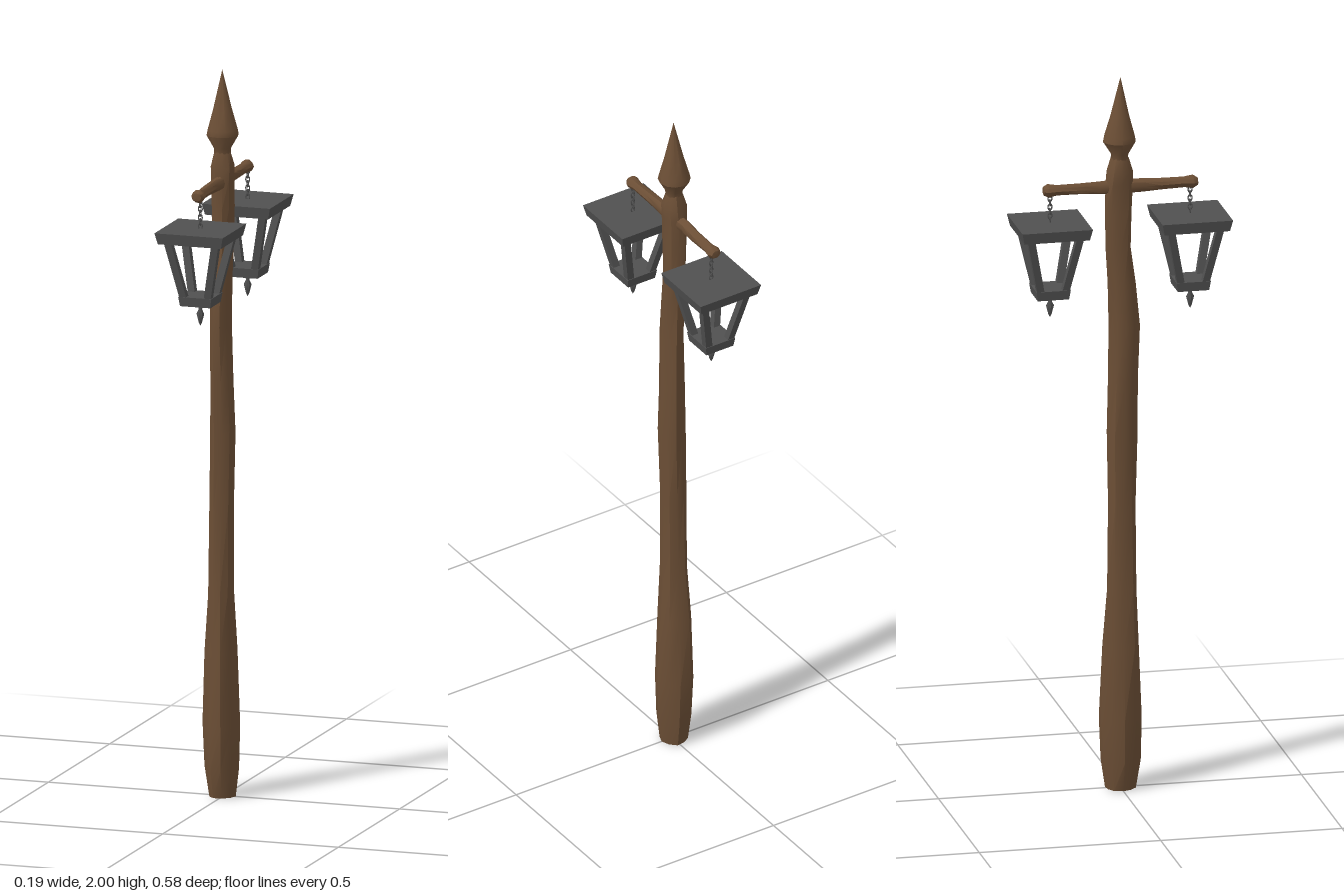
import * as THREE from 'three';
import { toCreasedNormals } from 'three/addons/utils/BufferGeometryUtils.js';

const wood = new THREE.MeshStandardMaterial({ color: 0x6b4e35 });
const iron = new THREE.MeshStandardMaterial({ color: 0x505050 });

function addMesh(parent, name, geometry, material) {
  const mesh = new THREE.Mesh(geometry, material);
  mesh.name = name;
  parent.add(mesh);
  return mesh;
}

// Skin over elliptical rings; each row is [y, centreX, centreZ, radiusX, radiusZ]
function loft(rows, sides, wobble = 0) {
  const points = [], index = [];
  rows.forEach(([y, cx, cz, rx, rz], j) => {
    for (let i = 0; i < sides; i++) {
      const a = (i / sides) * Math.PI * 2;
      const k = 1 + wobble * Math.sin(i * 2.4 + j * 0.9);
      points.push(cx + rx * k * Math.cos(a), y, cz + rz * k * Math.sin(a));
      if (j === rows.length - 1) continue;
      const p = j * sides + i, n = j * sides + (i + 1) % sides;
      index.push(p, p + sides, n, p + sides, n + sides, n);
    }
  });
  const geometry = new THREE.BufferGeometry();
  geometry.setAttribute('position', new THREE.Float32BufferAttribute(points, 3));
  geometry.setIndex(index);
  return toCreasedNormals(geometry, 0.7);
}

// Square slab with different half widths at top and bottom
function squareFrustum(top, bottom, height) {
  return new THREE.CylinderGeometry(top * Math.SQRT2, bottom * Math.SQRT2, height, 4)
    .toNonIndexed().rotateY(Math.PI / 4);
}

function createLantern() {
  const lantern = new THREE.Group();
  lantern.name = 'lantern';

  const flat = (g) => { g.computeVertexNormals(); return g; };
  addMesh(lantern, 'lanternRoof', flat(squareFrustum(0.097, 0.09, 0.031)), iron).position.y = 1.5875;
  addMesh(lantern, 'lanternBase', flat(squareFrustum(0.047, 0.043, 0.026)), iron).position.y = 1.408;

  // Leaning corner bars: boxes sheared outward towards the roof
  for (const sx of [-1, 1]) for (const sz of [-1, 1]) {
    const bar = new THREE.BoxGeometry(0.02, 0.16, 0.02).toNonIndexed();
    const p = bar.attributes.position;
    for (let i = 0; i < p.count; i++) {
      const offset = p.getY(i) > 0 ? 0.068 : 0.034;
      p.setX(i, p.getX(i) + sx * offset);
      p.setZ(i, p.getZ(i) + sz * offset);
    }
    addMesh(lantern, 'cornerBar', flat(bar), iron).position.y = 1.496;
  }

  // Pointed drop under the base
  const drop = [[0, 1.335], [0.005, 1.345], [0.011, 1.368], [0.005, 1.38], [0.007, 1.397]]
    .map(([r, y]) => new THREE.Vector2(r, y));
  addMesh(lantern, 'dropFinial', toCreasedNormals(new THREE.LatheGeometry(drop, 8), 0.7), iron);

  // Chain of alternating links
  for (let i = 0; i < 7; i++) {
    const link = addMesh(lantern, 'chainLink', new THREE.TorusGeometry(0.0055, 0.0018, 5, 10), iron);
    link.scale.y = 1.5;
    link.position.y = 1.609 + i * 0.012;
    link.rotation.y = (i % 2) * Math.PI / 2;
  }
  return lantern;
}

export function createModel() {
  const model = new THREE.Group();
  model.name = 'lampPost';

  // Crooked trunk with a swollen foot
  addMesh(model, 'post', loft([
    [0, -0.005, 0, 0, 0],
    [0, -0.005, 0, 0.037, 0.04],
    [0.08, -0.006, 0.001, 0.047, 0.053],
    [0.2, -0.007, 0, 0.052, 0.059],
    [0.4, -0.008, 0, 0.044, 0.052],
    [0.56, -0.007, 0.003, 0.033, 0.042],
    [0.8, -0.006, 0.003, 0.032, 0.038],
    [1.0, -0.002, 0.005, 0.034, 0.041],
    [1.15, -0.004, 0.007, 0.032, 0.039],
    [1.3, -0.005, 0.011, 0.03, 0.042],
    [1.42, -0.005, 0.004, 0.029, 0.039],
    [1.52, -0.004, -0.006, 0.028, 0.036],
    [1.62, -0.004, -0.006, 0.029, 0.038],
    [1.7, -0.005, -0.004, 0.03, 0.038],
    [1.735, -0.005, -0.002, 0.033, 0.035],
    [1.775, -0.005, -0.002, 0.022, 0.023],
  ], 10, 0.05), wood);

  // Spear-shaped tip
  addMesh(model, 'spire', loft([
    [1.77, -0.005, -0.002, 0.023, 0.023],
    [1.785, -0.005, -0.002, 0.024, 0.024],
    [1.82, -0.005, -0.003, 0.044, 0.045],
    [1.835, -0.005, -0.003, 0.041, 0.042],
    [1.89, -0.005, -0.002, 0.026, 0.026],
    [2, -0.005, 0, 0, 0],
  ], 12), wood);

  // Crossbar with knobbed ends, lofted upright and laid along z
  const arm = loft([
    [-0.214, 0, 0, 0, 0],
    [-0.212, 0, 0, 0.013, 0.011],
    [-0.2, 0, 0, 0.019, 0.018],
    [-0.175, 0, 0, 0.015, 0.014],
    [-0.11, 0, 0, 0.016, 0.015],
    [-0.06, -0.003, 0, 0.015, 0.018],
    [0, 0, 0, 0.018, 0.02],
    [0.06, -0.002, 0, 0.015, 0.018],
    [0.11, -0.002, 0, 0.016, 0.015],
    [0.175, 0, 0, 0.014, 0.014],
    [0.2, 0, 0, 0.019, 0.018],
    [0.212, 0, 0, 0.013, 0.011],
    [0.214, 0, 0, 0, 0],
  ], 10, 0.04).rotateX(Math.PI / 2);
  addMesh(model, 'crossbar', arm, wood).position.set(-0.004, 1.692, 0);

  // One lantern hanging at each end
  for (const side of [1, -1]) {
    const lantern = createLantern();
    lantern.position.z = side * 0.193;
    model.add(lantern);
  }
  return model;
}
